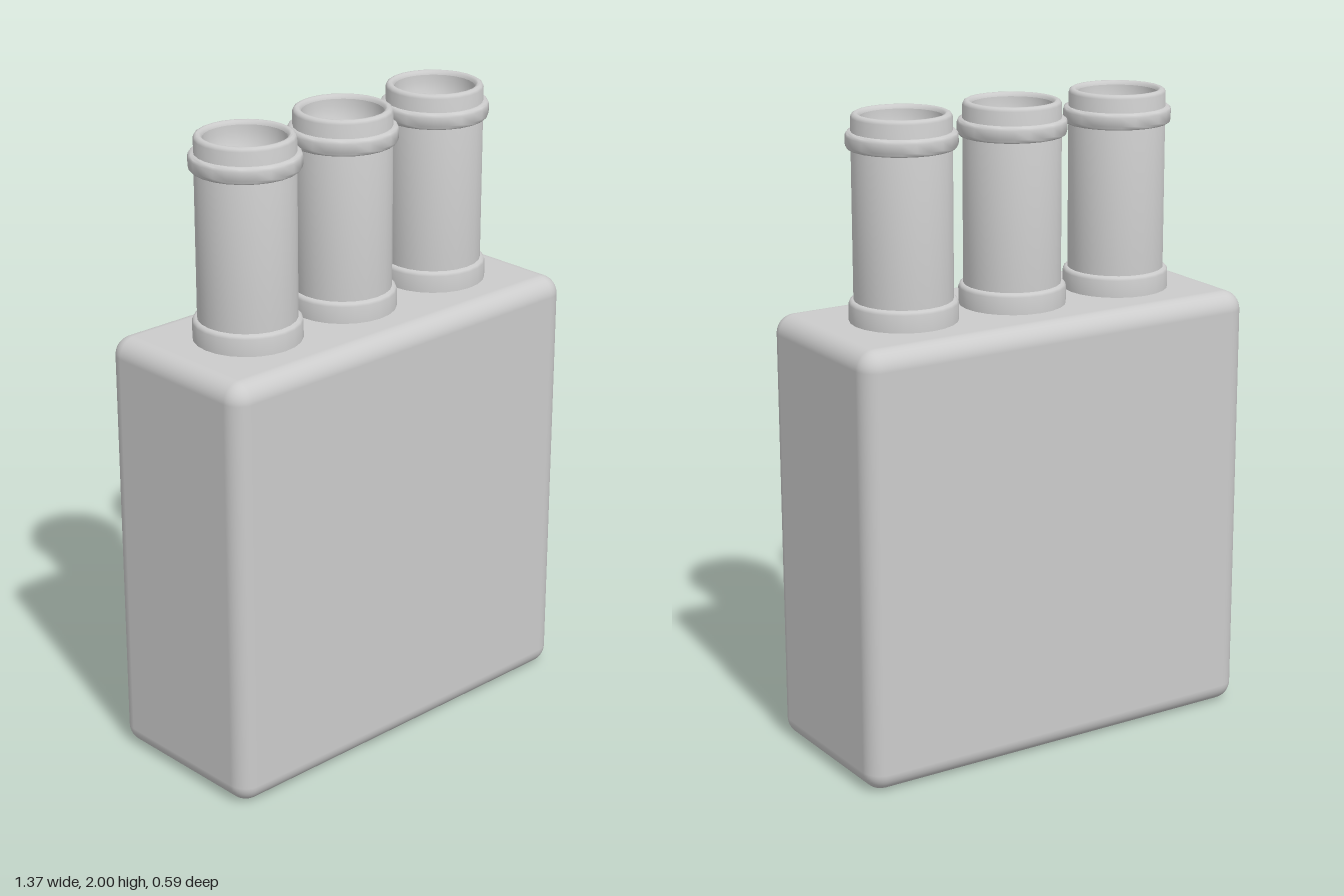
import * as THREE from 'three';
import { RoundedBoxGeometry } from 'three/addons/geometries/RoundedBoxGeometry.js';
import { toCreasedNormals } from 'three/addons/utils/BufferGeometryUtils.js';

const material = new THREE.MeshStandardMaterial({ color: 0xcccccc });
const SEGMENTS = 24;

// Turned part from [radius, height] pairs, listed from the outside bottom upward.
function turned(name, pairs, crease = 0.9) {
  const points = pairs.map(([r, y]) => new THREE.Vector2(r, y));
  const geometry = toCreasedNormals(new THREE.LatheGeometry(points, SEGMENTS), crease);
  const mesh = new THREE.Mesh(geometry, material);
  mesh.name = name;
  return mesh;
}

function createNeck() {
  const neck = new THREE.Group();

  // Collar where the neck meets the body
  neck.add(turned('collar', [
    [0.165, 1.36], [0.165, 1.428], [0.162, 1.436], [0.155, 1.44], [0.14, 1.44],
  ]));

  // Straight tube with a rounded lip
  neck.add(turned('tube', [
    [0.15, 1.37], [0.15, 1.988], [0.147, 1.996], [0.14, 2.0],
    [0.133, 2.0], [0.127, 1.996], [0.124, 1.988],
  ]));

  // Raised ring just below the lip
  neck.add(turned('lipRing', [
    [0.145, 1.896], [0.16, 1.896], [0.165, 1.901], [0.167, 1.908],
    [0.167, 1.934], [0.165, 1.941], [0.16, 1.946], [0.145, 1.946],
  ]));

  // Rounded hollow inside the mouth
  const bowl = [];
  for (let i = 0; i <= 10; i++) {
    const a = (i / 10) * Math.PI / 2;
    bowl.push([0.124 * Math.cos(a), 1.988 - 0.14 * Math.sin(a)]);
  }
  neck.add(turned('mouthHollow', bowl));
  return neck;
}

export function createModel() {
  const model = new THREE.Group();
  model.name = 'threeNeckedBlock';

  // Rounded block body
  const body = new THREE.Mesh(new RoundedBoxGeometry(1.37, 1.375, 0.586, 5, 0.06), material);
  body.name = 'body';
  body.position.y = 1.375 / 2;
  model.add(body);

  // Row of three necks
  ['rightNeck', 'middleNeck', 'leftNeck'].forEach((name, i) => {
    const neck = createNeck();
    neck.name = name;
    neck.position.x = (i - 1) * 0.385;
    model.add(neck);
  });
  return model;
}
